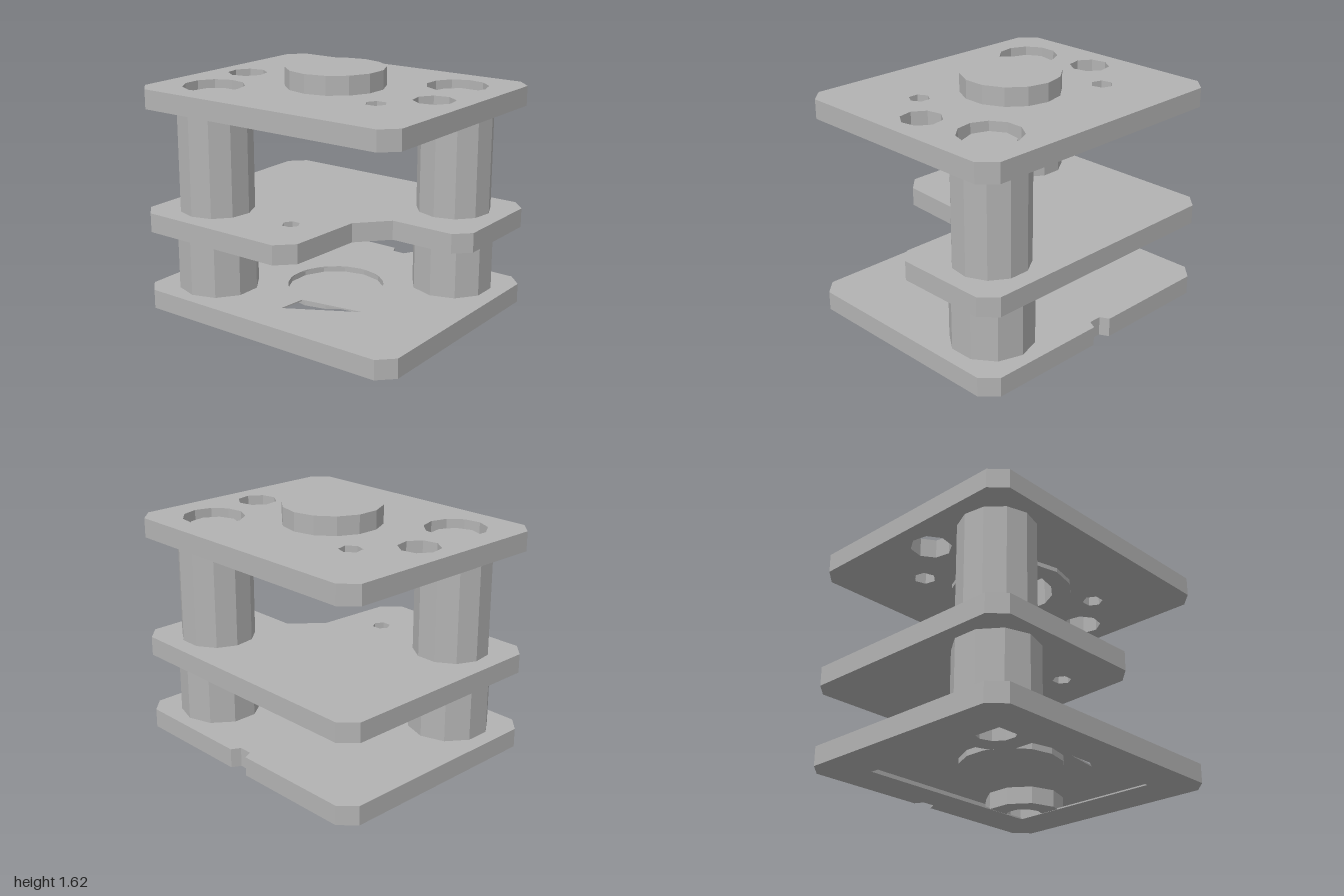
import * as THREE from 'three';

const steel = new THREE.MeshStandardMaterial({ color: 0xb3b3b3, flatShading: true });
steel.name = 'grey steel';

// Centres of the two guide columns [x, z]
const columns = [[-0.635, 0.47], [0.63, -0.47]];

// Regular polygon outline in [x, z]
function ring(x, z, r, n, turn = 0) {
  return Array.from({ length: n }, (_, i) => {
    const a = turn + (i / n) * Math.PI * 2;
    return [x + r * Math.cos(a), z + r * Math.sin(a)];
  });
}

// Rectangle with cut corners in [x, z]
function chamfered(w, d, c) {
  return [[-w + c, d], [w - c, d], [w, d - c], [w, -d + c],
    [w - c, -d], [-w + c, -d], [-w, -d + c], [-w, d - c]];
}

// Horizontal slab between two heights, with through holes
function slab(name, outline, holes, y0, y1) {
  const toVec = ([x, z]) => new THREE.Vector2(x, -z);
  const shape = new THREE.Shape(outline.map(toVec));
  holes.forEach((h) => shape.holes.push(new THREE.Path(h.map(toVec))));
  const geo = new THREE.ExtrudeGeometry(shape, { depth: y1 - y0, bevelEnabled: false });
  geo.rotateX(-Math.PI / 2).translate(0, y0, 0);
  const mesh = new THREE.Mesh(geo, steel);
  mesh.name = name;
  return mesh;
}

// Turned part from an [r, y] profile
function turned(name, profile, sides, x = 0, z = 0) {
  const pts = profile.map(([r, y]) => new THREE.Vector2(r, y));
  const mesh = new THREE.Mesh(new THREE.LatheGeometry(pts, sides), steel);
  mesh.position.set(x, 0, z);
  mesh.name = name;
  return mesh;
}

export function createModel() {
  const model = new THREE.Group();
  model.name = 'dieSet';
  const plate = chamfered(1, 0.83, 0.1);

  // Hollow base: outline with a small groove in the back edge
  const base = new THREE.Group();
  base.name = 'basePlate';
  const groove = [[0.075, -0.83], [0.045, -0.77], [-0.045, -0.77], [-0.075, -0.83]];
  const baseOutline = [...plate.slice(0, 5), ...groove, ...plate.slice(5)];
  const inner = chamfered(0.985, 0.755, 0.1);
  const opening = [[-0.69, -0.55], [0.69, -0.55], [0.69, 0.55], [-0.69, 0.55]];
  const slot = [[0, 0.37], [-0.02, 0.56], [0.44, 0.3]];
  const bores = columns.map(([x, z]) => ring(x, z, 0.2, 12));
  base.add(
    slab('baseUnderside', baseOutline, [opening], 0, 0.01),
    slab('baseWalls', baseOutline, [inner], 0.01, 0.12),
    slab('baseTop', baseOutline, [ring(0, 0, 0.332, 14), slot, ...bores], 0.12, 0.13),
    turned('dieRecess', [[0, 0.08], [0.34, 0.08], [0.34, 0.13], [0.33, 0.13], [0.33, 0.09], [0, 0.09]], 14),
  );
  model.add(base);

  // Middle plate with its front left corner cut away
  const cutOutline = [[-0.9, 0.83], [0.14, 0.83], [0.25, 0.72], [0.28, 0.2], [0.46, 0],
    [0.9, 0], [1, -0.1], ...plate.slice(3)];
  model.add(slab('middlePlate', cutOutline, [ring(-0.02, 0.45, 0.06, 6)], 0.54, 0.67));

  // Top plate with bolt holes, dowel holes and column bores
  model.add(slab('topPlate', plate, [
    ring(0, 0, 0.3, 14),
    ring(-0.505, -0.33, 0.075, 6, 0.3),
    ring(0.52, 0.29, 0.07, 6),
    ring(-0.755, 0, 0.135, 8, 0.2),
    ring(0.75, 0, 0.135, 8, 0.2),
    ...columns.map(([x, z]) => ring(x, z, 0.205, 11)),
  ], 1.37, 1.5));

  // Shank above the top plate, with a flanged socket underneath
  model.add(turned('shank', [[0, 1.55], [0.28, 1.55], [0.28, 1.34], [0.41, 1.34],
    [0.41, 1.37], [0.33, 1.37], [0.33, 1.625], [0, 1.625]], 14));

  // Guide columns: hollow lower bushing, upper bushing and pin
  columns.forEach(([x, z]) => {
    const column = new THREE.Group();
    column.name = 'guideColumn';
    column.add(
      turned('lowerBushing', [[0, 0.45], [0.13, 0.45], [0.13, 0.002], [0.272, 0.002], [0.272, 0.54], [0, 0.54]], 10, x, z),
      turned('upperBushing', [[0, 0.67], [0.25, 0.67], [0.25, 1.37], [0, 1.37]], 11, x, z),
      turned('guidePin', [[0.165, 1.37], [0.165, 1.45], [0, 1.45]], 9, x, z),
    );
    model.add(column);
  });

  return model;
}
